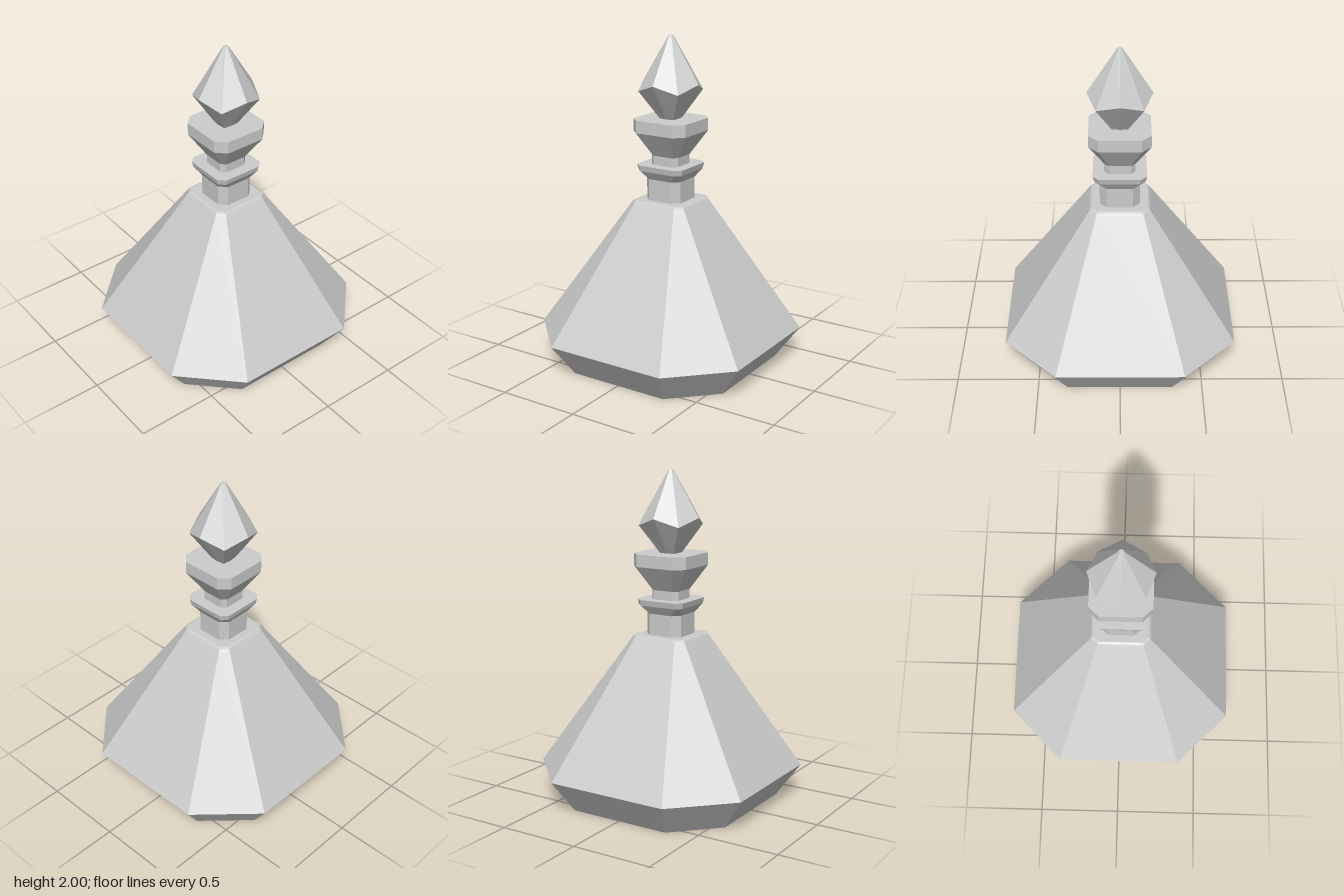
import * as THREE from 'three';

// Octagon with half-width h; the four straight sides reach to +-c
function octagon([y, h, c]) {
  return [[h, -c], [h, c], [c, h], [-c, h], [-h, c], [-h, -c], [-c, -h], [c, -h]]
    .map(([x, z]) => [x, y, z]);
}

// Ring alternating between axis points (radius r, height y) and
// diagonal points (offset d, height yd)
function gemRing([y, r, yd, d]) {
  return [[r, 0], [d, d], [0, r], [-d, d], [-r, 0], [-d, -d], [0, -r], [d, -d]]
    .map(([x, z], i) => [x, i % 2 ? yd : y, z]);
}

// Skin rings from bottom to top and close both ends
function loft(name, rings) {
  const pos = [];
  const tri = (...points) => points.forEach((p) => pos.push(...p));
  const first = rings[0];
  const last = rings[rings.length - 1];
  const n = first.length;
  for (let i = 0; i < n; i++) {
    const j = (i + 1) % n;
    for (let k = 0; k < rings.length - 1; k++) {
      const low = rings[k], high = rings[k + 1];
      tri(low[i], high[i], high[j]);
      tri(low[i], high[j], low[j]);
    }
    tri([0, first[0][1], 0], first[i], first[j]);
    tri([0, last[0][1], 0], last[j], last[i]);
  }
  const geometry = new THREE.BufferGeometry();
  geometry.setAttribute('position', new THREE.Float32BufferAttribute(pos, 3));
  geometry.computeVertexNormals();
  const material = new THREE.MeshStandardMaterial({ color: 0xcccccc, flatShading: true });
  const mesh = new THREE.Mesh(geometry, material);
  mesh.name = name;
  return mesh;
}

export function createModel() {
  const group = new THREE.Group();
  group.name = 'bottle';

  // Faceted body with a softened shoulder
  group.add(loft('body', [
    [0, 0.57, 0.32], [0.2, 0.705, 0.385], [1.0, 0.187, 0.142],
    [1.014, 0.177, 0.138], [1.02, 0.165, 0.13],
  ].map(octagon)));

  // Neck and its flared lip
  group.add(loft('neck', [[1.01, 0.12, 0.077], [1.15, 0.12, 0.077]].map(octagon)));
  group.add(loft('lip', [
    [1.15, 0.12, 0.077], [1.2, 0.152, 0.118], [1.235, 0.16, 0.122],
  ].map(octagon)));

  // Stopper collar: short stem, flare and upright rim
  group.add(loft('stopperCollar', [
    [1.22, 0.092, 0.065], [1.29, 0.092, 0.065],
    [1.435, 0.183, 0.125], [1.51, 0.183, 0.125],
  ].map(octagon)));

  // Cut gem finial with a zigzag girdle
  group.add(loft('stopperGem', [
    [1.505, 0.05, 1.505, 0.045], [1.725, 0.192, 1.677, 0.138], [2, 0.016, 2, 0.011],
  ].map(gemRing)));

  return group;
}
